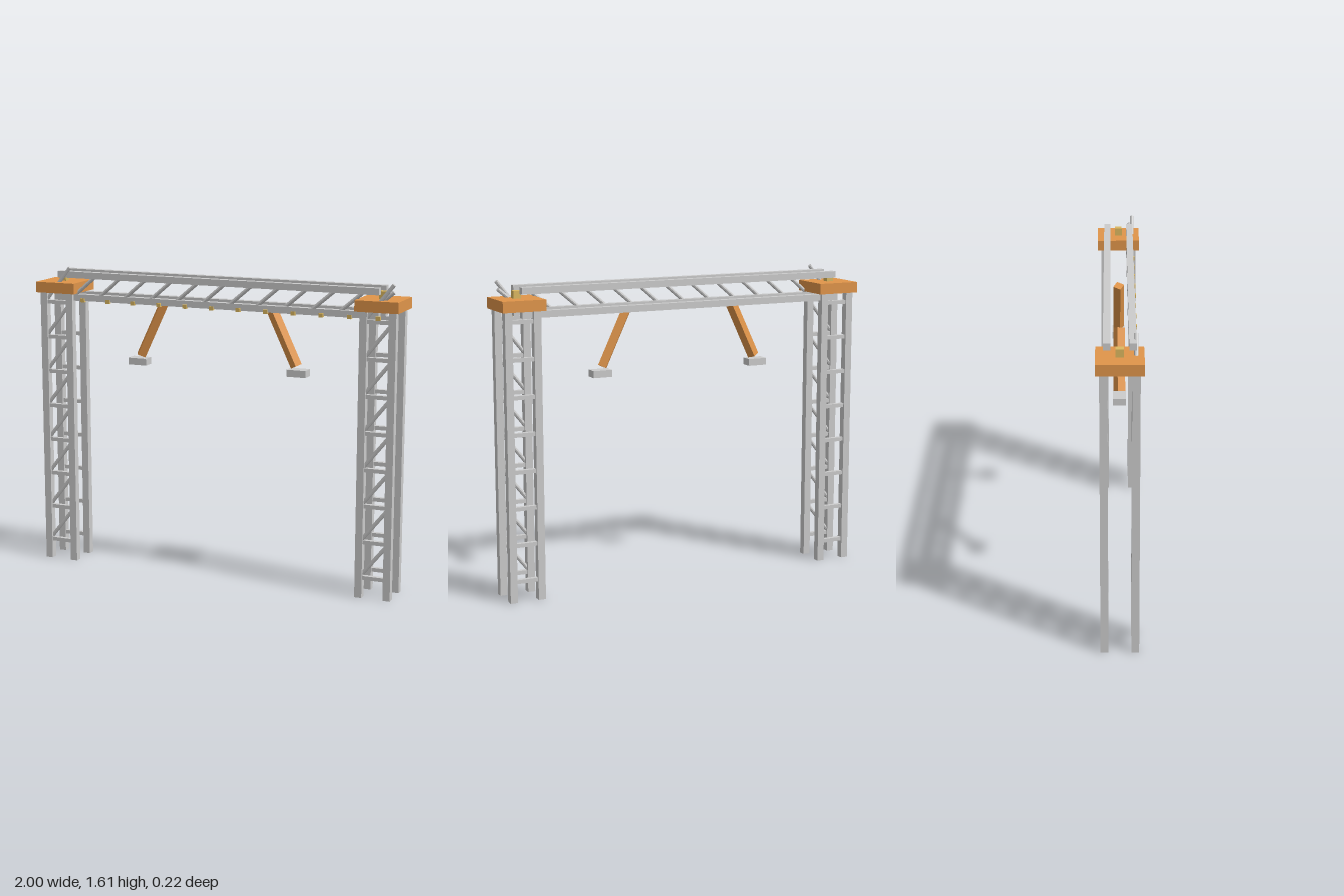
import * as THREE from 'three';

const grey = new THREE.MeshStandardMaterial({ color: 0xcccccc, flatShading: true });
const orange = new THREE.MeshStandardMaterial({ color: 0xe0954a, flatShading: true });
const yellow = new THREE.MeshStandardMaterial({ color: 0xdcb860, flatShading: true });

function box(parent, name, size, pos, material = grey) {
  const mesh = new THREE.Mesh(new THREE.BoxGeometry(...size), material);
  mesh.name = name;
  mesh.position.set(...pos);
  parent.add(mesh);
  return mesh;
}

// Thin round brace between two points in a plane of constant z
function brace(parent, name, x0, y0, x1, y1, z) {
  const dx = x1 - x0, dy = y1 - y0;
  const mesh = new THREE.Mesh(new THREE.CylinderGeometry(0.01, 0.01, Math.hypot(dx, dy), 8), grey);
  mesh.name = name;
  mesh.position.set((x0 + x1) / 2, (y0 + y1) / 2, z);
  mesh.rotation.z = -Math.atan2(dx, dy);
  parent.add(mesh);
}

function createTower(side) {
  const tower = new THREE.Group();
  tower.name = side > 0 ? 'leftTower' : 'rightTower';
  const cx = side * 0.89, half = 0.075, step = 0.187;
  for (const x of [-half, half])
    for (const z of [-half, half])
      box(tower, 'leg', [0.038, 1.467, 0.038], [cx + x, 0.7335, z]);

  // Rungs on both faces, braces on the front face only
  for (let i = 0; i < 8; i++) {
    const y = 0.105 + i * step;
    for (const z of [-half, half])
      box(tower, 'rung', [0.15, 0.02, 0.022], [cx, y, z]);
    brace(tower, 'towerBrace', cx - half, y, cx + half, y + step, half);
  }

  box(tower, 'cap', [0.225, 0.056, 0.225], [side * 0.8875, 1.493, 0], orange);
  box(tower, 'capLamp', [0.038, 0.038, 0.038], [cx, 1.54, 0], yellow);
  return tower;
}

function createTruss() {
  const truss = new THREE.Group();
  truss.name = 'truss';
  for (const y of [1.445, 1.563])
    for (const z of [-0.06, 0.06])
      box(truss, 'chord', [1.775, 0.034, 0.034], [0, y, z]);

  // Braces and small lamps along the front chords
  const step = 0.148;
  for (let i = -5; i <= 6; i++) {
    const x = i * step;
    brace(truss, 'trussBrace', x - 0.066, 1.445, x + 0.074, 1.563, 0.062);
    box(truss, 'lamp', [0.022, 0.02, 0.02], [x, 1.432, 0.077], yellow);
  }
  return truss;
}

// Slanted arm hanging below the truss, with a pad at its end
function createHanger(side) {
  const hanger = new THREE.Group();
  hanger.name = side > 0 ? 'leftHanger' : 'rightHanger';
  const arm = box(hanger, 'arm', [0.042, 0.31, 0.042], [side * 0.3685, 1.29, 0], orange);
  arm.geometry.rotateY(-side * 0.51);
  arm.rotation.z = side * 0.443;
  box(hanger, 'pad', [0.102, 0.036, 0.064], [side * 0.445, 1.117, 0]);
  return hanger;
}

export function createModel() {
  const model = new THREE.Group();
  model.name = 'gantry';
  model.add(createTruss());
  for (const side of [-1, 1]) model.add(createTower(side), createHanger(side));
  return model;
}
